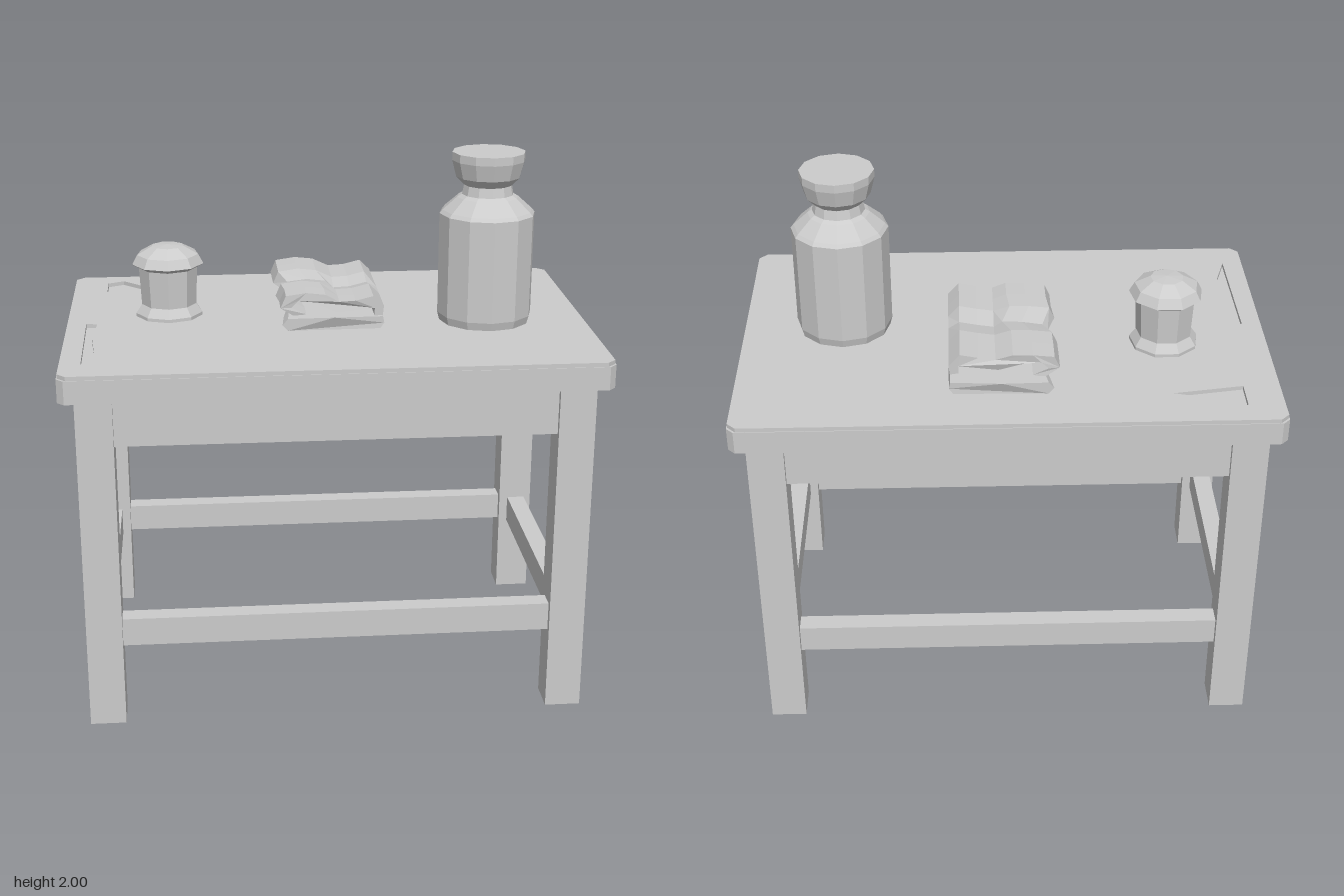
import * as THREE from 'three';

const material = new THREE.MeshStandardMaterial({ color: 0xcccccc, flatShading: true, side: THREE.DoubleSide });

function add(parent, name, geometry, x = 0, y = 0, z = 0) {
  const mesh = new THREE.Mesh(geometry, material);
  mesh.name = name;
  mesh.position.set(x, y, z);
  parent.add(mesh);
  return mesh;
}

const box = (parent, name, w, h, d, x, y, z) =>
  add(parent, name, new THREE.BoxGeometry(w, h, d), x, y, z);

const points = (list) => list.map(([x, y]) => new THREE.Vector2(x, y));

// Faceted turned shape from [radius, height] pairs
const turned = (profile, sides) => new THREE.LatheGeometry(points(profile), sides);

// Horizontal board with clipped corners and optional cut-outs; outline in x, z
function board(w, d, clip, height, holes = []) {
  const shape = new THREE.Shape(points([
    [-w + clip, -d], [w - clip, -d], [w, -d + clip], [w, d - clip],
    [w - clip, d], [-w + clip, d], [-w, d - clip], [-w, -d + clip],
  ]));
  holes.forEach((h) => shape.holes.push(new THREE.Path(points(h.map(([x, z]) => [x, -z])))));
  const geo = new THREE.ExtrudeGeometry(shape, { depth: height, bevelEnabled: false });
  return geo.rotateX(-Math.PI / 2);
}

// Cloth layer: x, y outline run along z, then shaped by a rule
function layer(outline, z0, z1, rule) {
  const geo = new THREE.ExtrudeGeometry(new THREE.Shape(points(outline)), {
    depth: z1 - z0, steps: 6, bevelEnabled: false,
  });
  geo.translate(0, 0, z0);
  const p = geo.attributes.position;
  const v = new THREE.Vector3();
  for (let i = 0; i < p.count; i++) {
    v.fromBufferAttribute(p, i);
    rule(v);
    p.setXYZ(i, v.x, v.y, v.z);
  }
  geo.computeVertexNormals();
  return geo;
}

export function createModel() {
  const model = new THREE.Group();
  model.name = 'tableWithObjects';

  // Table top: solid slab under a thin surface with shallow gouges
  const top = new THREE.Group();
  top.name = 'tableTop';
  model.add(top);
  add(top, 'slab', board(0.963, 0.63, 0.025, 0.085), 0, 1.27, 0);
  add(top, 'gougedSurface', board(0.96, 0.627, 0.03, 0.015, [
    [[-0.89, 0.02], [-0.85, 0.03], [-0.86, 0.2], [-0.845, 0.37], [-0.885, 0.5]],
    [[-0.83, -0.53], [-0.77, -0.56], [-0.69, -0.48], [-0.58, -0.45], [-0.83, -0.41]],
  ]), 0, 1.355, 0);
  box(top, 'frontNick', 0.006, 0.05, 0.004, 0, 1.33, 0.63);

  // Legs
  for (const sx of [-1, 1]) {
    for (const sz of [-1, 1]) {
      box(model, 'leg', 0.13, 1.265, 0.125, sx * 0.845, 0.6375, sz * 0.512);
    }
  }

  // Aprons and stretchers between the legs
  for (const s of [-1, 1]) {
    box(model, 'longApron', 1.57, 0.185, 0.07, 0, 1.1775, s * 0.52);
    box(model, 'sideApron', 0.07, 0.185, 0.91, s * 0.855, 1.1775, 0);
    box(model, 'longStretcher', 1.57, 0.105, 0.07, 0, 0.3625, s * 0.515);
    box(model, 'sideStretcher', 0.07, 0.105, 0.91, s * 0.848, 0.3625, 0);
  }

  // Tall jar with a flared stopper
  add(model, 'jar', turned([
    [0, 0], [0.168, 0], [0.176, 0.03], [0.176, 0.405], [0.165, 0.418], [0.112, 0.465],
    [0.095, 0.475], [0.088, 0.51], [0.118, 0.54], [0.134, 0.6], [0.134, 0.63], [0, 0.63],
  ], 12), 0.59, 1.37, 0.065);

  // Small pot with a domed cover
  add(model, 'smallPot', turned([
    [0, 0], [0.126, 0], [0.126, 0.012], [0.103, 0.045], [0.11, 0.185],
    [0.134, 0.2], [0.115, 0.235], [0.06, 0.265], [0, 0.27],
  ], 9), -0.583, 1.37, -0.09);

  // Folded cloth: flat lower layer, and an upper sheet with an open fold
  const cloth = new THREE.Group();
  cloth.name = 'foldedCloth';
  model.add(cloth);
  add(cloth, 'lowerLayer', layer([
    [-0.13, 0], [0.19, 0], [0.205, 0.02], [0.2, 0.045], [0.02, 0.05], [-0.13, 0.045], [-0.15, 0.02],
  ], -0.43, 0.16, (v) => {
    if (v.x < 0) v.x -= 0.02 * Math.sin(v.z * 9);
    v.z += 0.02 * Math.cos(v.x * 8) * Math.sign(v.z);
  }), 0, 1.37, 0);
  add(cloth, 'upperFold', layer([
    [-0.13, 0.04], [-0.185, 0.075], [-0.165, 0.12], [-0.09, 0.13], [-0.02, 0.125], [0.04, 0.1],
    [0.1, 0.105], [0.165, 0.12], [0.205, 0.08], [0.2, 0.04], [0.17, 0.04], [0.17, 0.075],
    [0.03, 0.06], [-0.06, 0.095], [-0.12, 0.1], [-0.145, 0.075], [-0.09, 0.05],
  ], -0.38, 0.14, (v) => {
    // Crease across the middle and a narrower front end
    const dent = Math.max(0, 1 - Math.abs(v.z + 0.12) / 0.09);
    if (v.y > 0.1) v.y -= 0.018 * dent;
    if (v.x < 0) v.x += 0.03 * dent + (v.z > 0 ? 0.01 : 0);
    v.z += 0.015 * Math.sin(v.x * 14);
  }), 0, 1.37, 0);

  return model;
}
